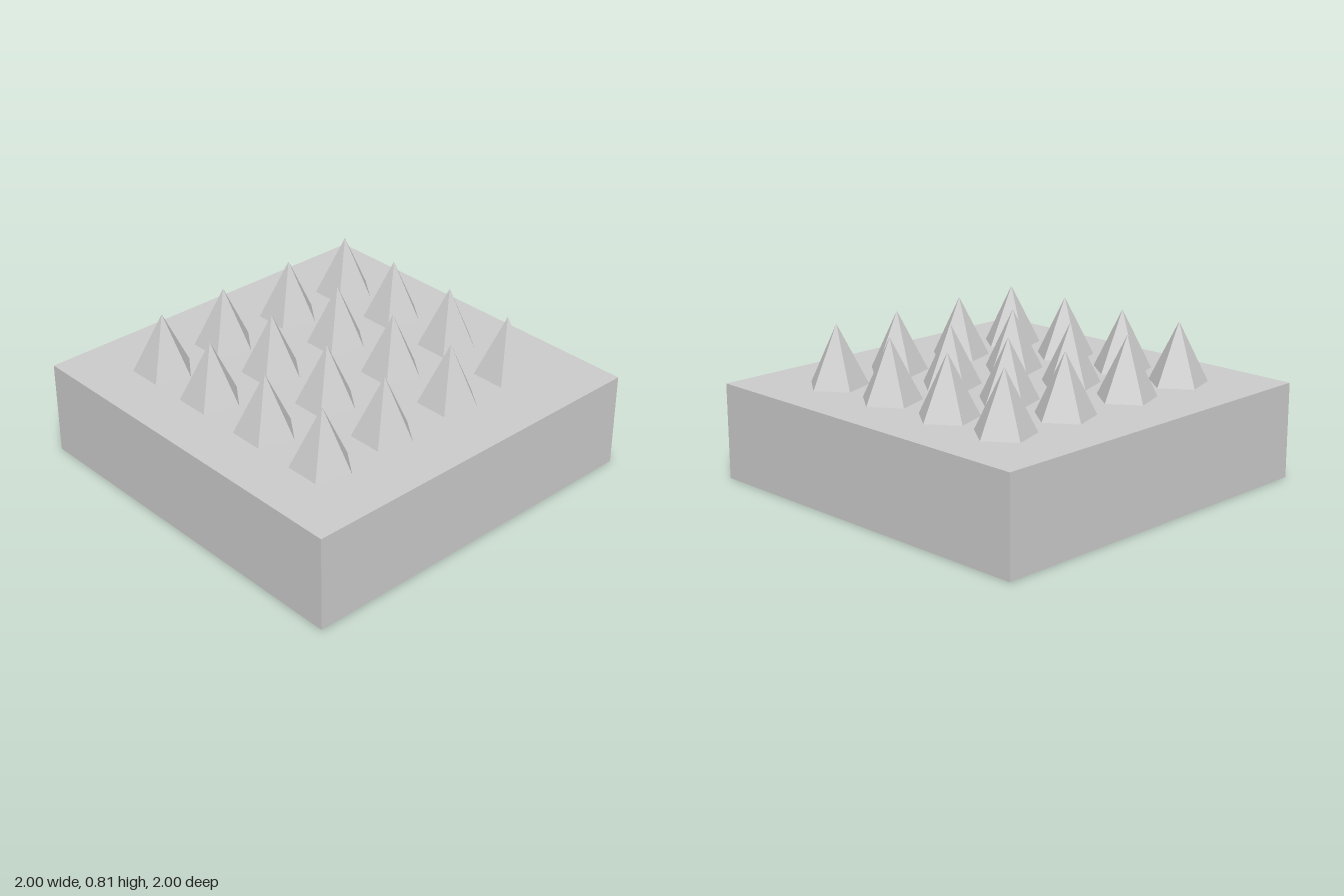
import * as THREE from 'three';

const BASE_HEIGHT = 0.5;
const SPIKE_HEIGHT = 0.315;
const SPIKE_RADIUS = 0.157;
const COLUMNS_X = [-0.594, -0.22, 0.183, 0.58];
const ROWS_Z = [-0.624, -0.223, 0.218, 0.61];

export function createModel() {
  const model = new THREE.Group();
  model.name = 'spikedSlab';
  const material = new THREE.MeshStandardMaterial({ color: 0xcccccc, flatShading: true });

  // Square slab
  const slab = new THREE.Mesh(new THREE.BoxGeometry(2, BASE_HEIGHT, 2), material);
  slab.name = 'slab';
  slab.position.y = BASE_HEIGHT / 2;
  model.add(slab);

  // Five-sided spikes, one base corner pointing to the back
  const spikes = new THREE.Group();
  spikes.name = 'spikes';
  const spikeGeometry = new THREE.ConeGeometry(SPIKE_RADIUS, SPIKE_HEIGHT, 5, 1, true, Math.PI);
  spikeGeometry.translate(0, SPIKE_HEIGHT / 2, 0);
  for (const z of ROWS_Z) {
    for (const x of COLUMNS_X) {
      const spike = new THREE.Mesh(spikeGeometry, material);
      spike.name = 'spike';
      spike.position.set(x, BASE_HEIGHT, z);
      spikes.add(spike);
    }
  }
  model.add(spikes);

  return model;
}
